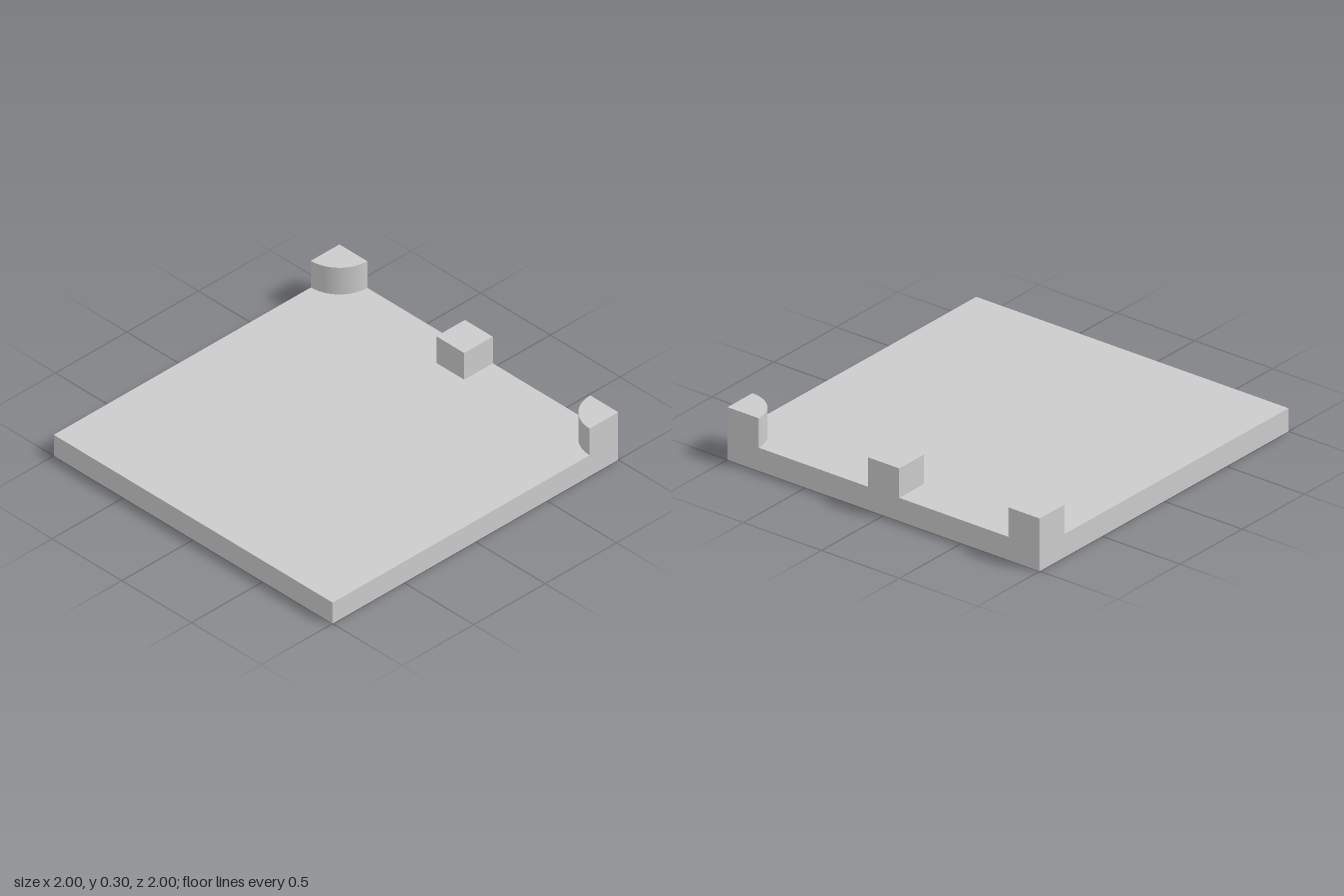
import * as THREE from 'three';
import { toCreasedNormals } from 'three/addons/utils/BufferGeometryUtils.js';

const BASE = 0.13; // slab thickness
const TOP = 0.295; // top of the posts
const POST = 0.2; // post width and corner radius

export function createModel() {
  const group = new THREE.Group();
  const material = new THREE.MeshStandardMaterial({ color: 0xcccccc });
  const height = TOP - BASE;

  const add = (name, geometry, x, y, z) => {
    const mesh = new THREE.Mesh(geometry, material);
    mesh.name = name;
    mesh.position.set(x, y, z);
    group.add(mesh);
    return mesh;
  };

  // Flat square slab
  add('basePlate', new THREE.BoxGeometry(2, BASE, 2), 0, BASE / 2, 0);

  // Square post in the middle of the back edge
  add('middlePost', new THREE.BoxGeometry(POST, height, POST), 0, BASE + height / 2, -1 + POST / 2);

  // Quarter-round posts in the back corners
  const sector = new THREE.Shape();
  sector.moveTo(0, 0);
  sector.lineTo(POST, 0);
  sector.absarc(0, 0, POST, 0, Math.PI / 2, false);
  sector.closePath();
  const extruded = new THREE.ExtrudeGeometry(sector, { depth: height, bevelEnabled: false, curveSegments: 24 });
  extruded.rotateX(Math.PI / 2); // sector spans +x and +z, hanging down from its top
  const quarter = toCreasedNormals(extruded, Math.PI / 6);

  add('rightCornerPost', quarter, -1, TOP, -1);
  add('leftCornerPost', quarter, 1, TOP, -1).rotation.y = -Math.PI / 2;

  return group;
}
